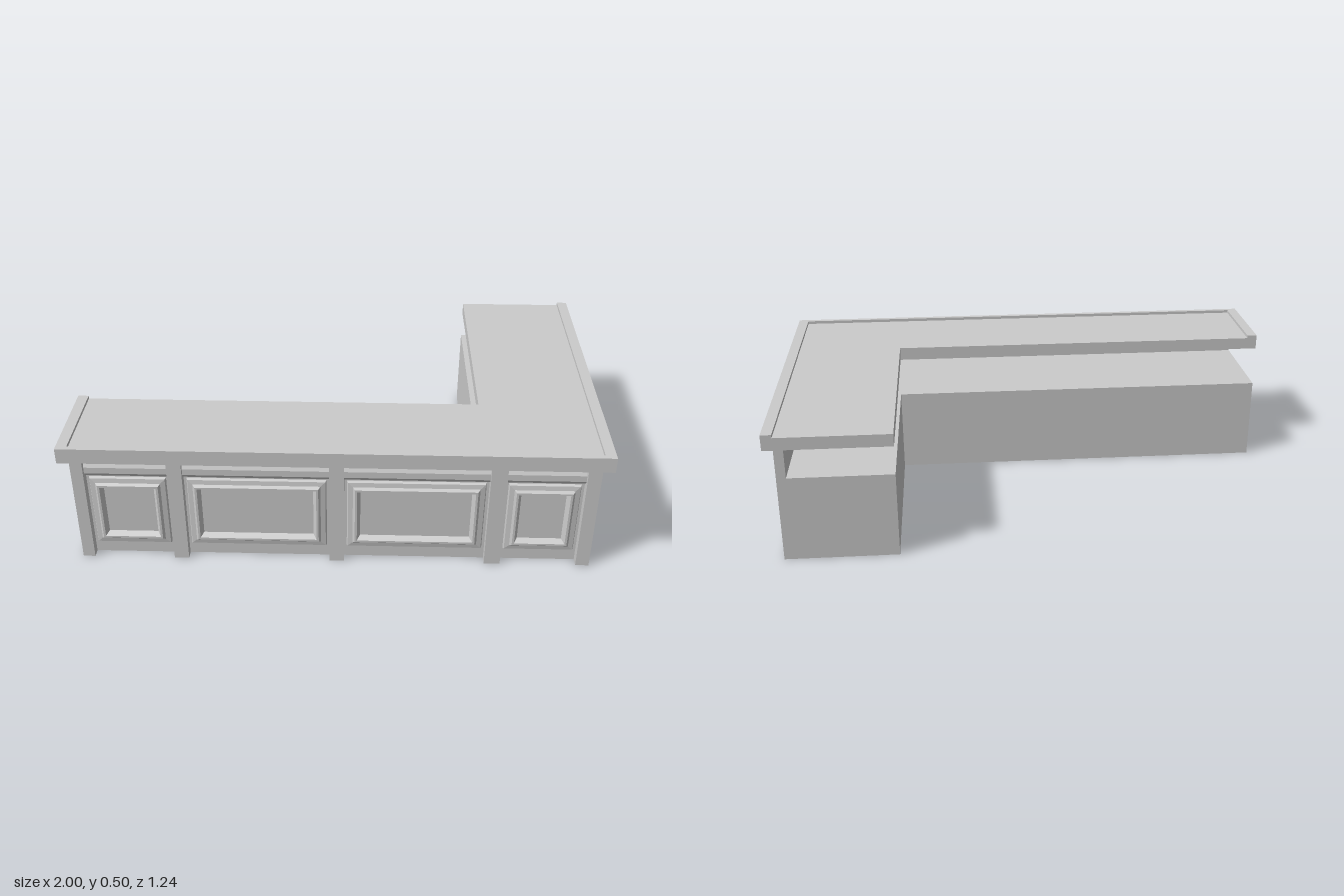
import * as THREE from 'three';

const mat = new THREE.MeshStandardMaterial({ color: 0xcccccc, flatShading: true, side: THREE.DoubleSide });

export function createModel() {
  const model = new THREE.Group();
  model.name = 'receptionCounter';

  const add = (name, geometry, parent = model) => {
    const mesh = new THREE.Mesh(geometry, mat);
    mesh.name = name;
    parent.add(mesh);
    return mesh;
  };

  // Box given by its limits on each axis
  const box = (name, x0, x1, y0, y1, z0, z1, parent) => {
    const mesh = add(name, new THREE.BoxGeometry(x1 - x0, y1 - y0, z1 - z0), parent);
    mesh.position.set((x0 + x1) / 2, (y0 + y1) / 2, (z0 + z1) / 2);
    return mesh;
  };

  // Plan outline of [x, z] points raised from y0 to y1
  const plan = (name, points, y0, y1) => {
    const shape = new THREE.Shape(points.map(([x, z]) => new THREE.Vector2(x, -z)));
    const geometry = new THREE.ExtrudeGeometry(shape, { depth: y1 - y0, bevelEnabled: false });
    geometry.rotateX(-Math.PI / 2).translate(0, y0, 0);
    return add(name, geometry);
  };

  const BACK = -0.62, FACE = 0.57, FRONT = 0.605, SIDE = 0.96, INNER = 0.54;
  const UNDER = 0.44, TOP = 0.5;

  // Low L-shaped desk body
  plan('deskBody', [
    [-SIDE, 0.12], [INNER, 0.12], [INNER, BACK], [SIDE, BACK], [SIDE, FACE], [-SIDE, FACE],
  ], 0, 0.33);

  // Upstand walls carrying the raised counter
  box('frontWall', -SIDE, SIDE, 0.33, UNDER, 0.53, FACE);
  box('sideWall', 0.925, SIDE, 0.33, UNDER, BACK, FACE);

  // Raised counter with a slightly higher edging on its outer sides
  plan('counterTop', [
    [-SIDE, 0.25], [INNER, 0.25], [INNER, BACK], [SIDE, BACK], [SIDE, FRONT], [-SIDE, FRONT],
  ], UNDER, TOP - 0.012);
  plan('counterEdging', [
    [-1, 0.25], [-SIDE, 0.25], [-SIDE, 0.603], [SIDE, 0.603], [SIDE, BACK], [1, BACK], [1, 0.622], [-1, 0.622],
  ], UNDER, TOP);

  // Pilasters on the front
  const pilasters = [[-SIDE, -0.915], [-0.61, -0.555], [-0.02, 0.035], [0.565, 0.625], [0.91, SIDE]];
  pilasters.forEach(([x0, x1]) => box('pilaster', x0, x1, 0, UNDER, FACE, FRONT));

  // Rectangular moulding built from nested rectangles: [inset, z]
  const frameProfile = [[0, FACE], [0.004, 0.58], [0.022, 0.583], [0.03, 0.592], [0.038, 0.592], [0.05, FACE + 0.001]];
  const frame = (x0, x1, y0, y1) => {
    const positions = [], index = [];
    frameProfile.forEach(([d, z]) => positions.push(
      x0 + d, y0 + d, z, x1 - d, y0 + d, z, x1 - d, y1 - d, z, x0 + d, y1 - d, z));
    for (let r = 0; r < frameProfile.length - 1; r++) {
      for (let i = 0; i < 4; i++) {
        const a = r * 4 + i, b = r * 4 + (i + 1) % 4;
        index.push(a, b, b + 4, a, b + 4, a + 4);
      }
    }
    const geometry = new THREE.BufferGeometry();
    geometry.setAttribute('position', new THREE.Float32BufferAttribute(positions, 3));
    geometry.setIndex(index);
    const flat = geometry.toNonIndexed();
    flat.computeVertexNormals();
    return flat;
  };

  // Horizontal moulding above each panel, [z, y] profile run along x
  const railProfile = [[FACE, 0.36], [0.582, 0.362], [0.59, 0.375], [0.59, 0.4], [0.582, 0.415], [FACE, 0.418]];
  const rail = (x0, x1) => {
    const shape = new THREE.Shape(railProfile.map(([z, y]) => new THREE.Vector2(-z, y)));
    const geometry = new THREE.ExtrudeGeometry(shape, { depth: x1 - x0, bevelEnabled: false });
    return geometry.rotateY(Math.PI / 2).translate(x0, 0, 0);
  };

  // Framed panel in every bay between two pilasters
  for (let i = 0; i < pilasters.length - 1; i++) {
    const x0 = pilasters[i][1], x1 = pilasters[i + 1][0];
    const bay = new THREE.Group();
    bay.name = 'frontPanel';
    model.add(bay);
    add('panelFrame', frame(x0 + 0.01, x1 - 0.01, 0.05, 0.35), bay);
    add('panelRail', rail(x0, x1), bay);
  }

  return model;
}
